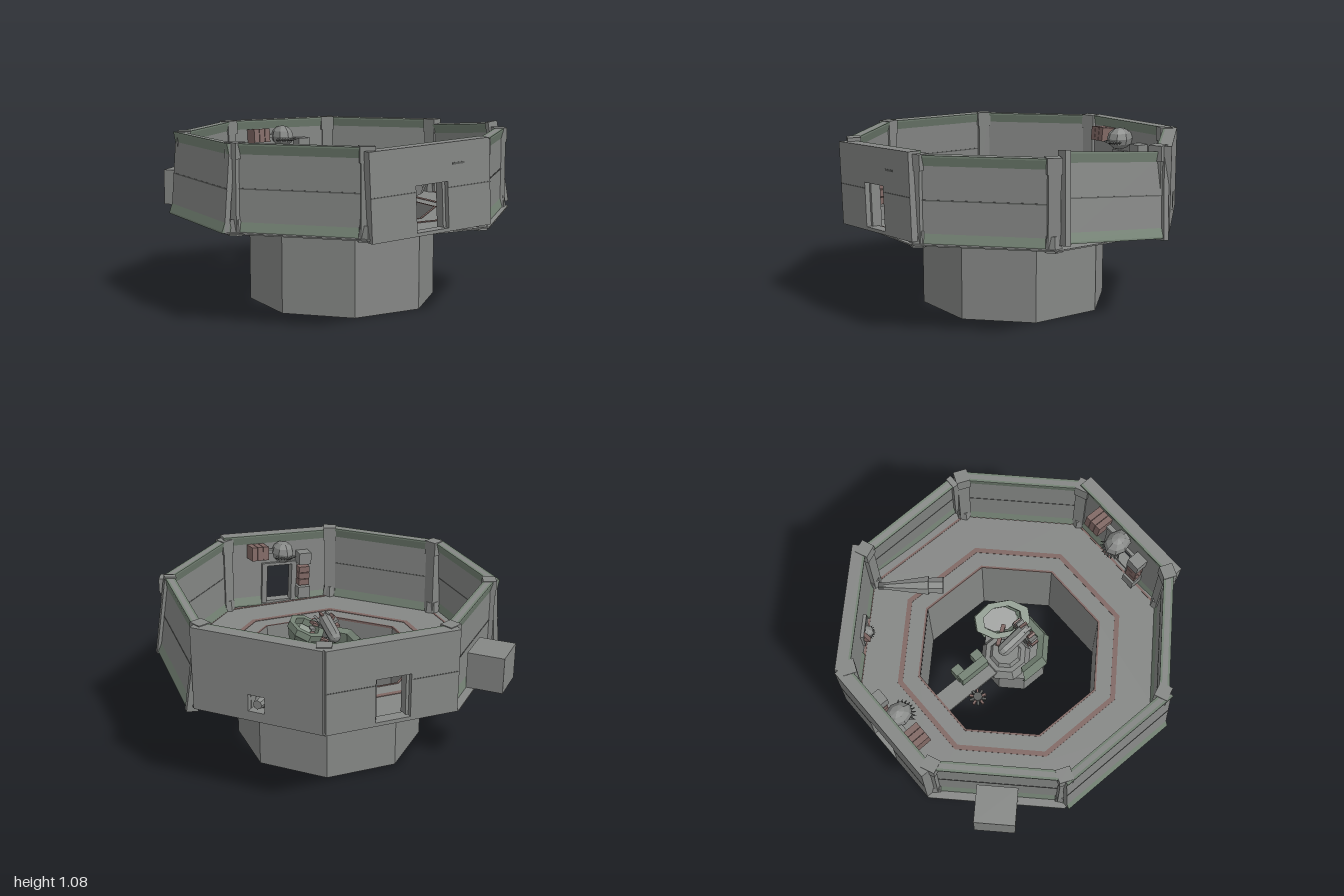
import * as THREE from 'three';

const mat = (color) => new THREE.MeshStandardMaterial({ color, flatShading: true, side: THREE.DoubleSide });
const grey = mat(0x858785), green = mat(0x748274), red = mat(0x806864), dark = mat(0x5c5e5c);
const PI = Math.PI;

function add(parent, name, geo, m, x = 0, y = 0, z = 0, rx = 0, ry = 0, rz = 0) {
  const mesh = new THREE.Mesh(geo, m);
  mesh.name = name;
  mesh.position.set(x, y, z);
  mesh.rotation.set(rx, ry, rz);
  parent.add(mesh);
  return mesh;
}
const box = (w, h, d) => new THREE.BoxGeometry(w, h, d);
const cyl = (a, b, h, n = 8, open = false) => new THREE.CylinderGeometry(a, b, h, n, 1, open);
const points = (list) => list.map((p) => new THREE.Vector2(...p));

function group(parent, name, x = 0, y = 0, z = 0, rx = 0, ry = 0, rz = 0) {
  const g = new THREE.Group();
  g.name = name;
  g.position.set(x, y, z);
  g.rotation.set(rx, ry, rz);
  parent.add(g);
  return g;
}

// Octagon corners with flat sides on the axes, given the centre-to-side distance
const octagon = (a) => Array.from({ length: 8 }, (_, i) => {
  const t = PI / 8 + i * PI / 4, r = a / Math.cos(PI / 8);
  return new THREE.Vector2(r * Math.cos(t), r * Math.sin(t));
});
function octRing(outer, inner, h) {
  const s = new THREE.Shape(octagon(outer));
  s.holes.push(new THREE.Path(octagon(inner)));
  return new THREE.ExtrudeGeometry(s, { depth: h, bevelEnabled: false }).rotateX(-PI / 2);
}

// Flat plate in x/y, optionally with a rectangular opening [x0, x1, y0, y1]
function plate(w, y0, y1, d, hole) {
  const rect = (a, b, c, e) => points([[a, c], [b, c], [b, e], [a, e]]);
  const s = new THREE.Shape(rect(-w, w, y0, y1));
  if (hole) s.holes.push(new THREE.Path(rect(...hole)));
  return new THREE.ExtrudeGeometry(s, { depth: d, bevelEnabled: false });
}

// Shallow sloped rail along a wall; dir = 1 on top, -1 at the bottom
function rail(w, dir) {
  const s = new THREE.Shape(points([[0, 0], [0.014, dir * 0.05], [0.014, dir * 0.06], [0, dir * 0.06]]));
  return new THREE.ExtrudeGeometry(s, { depth: 2 * w, bevelEnabled: false }).translate(0, 0, -w).rotateY(-PI / 2);
}

// Corner post with a stepped foot and head, centred on mid wall height
function post(root, t) {
  const side = group(root, 'cornerPost', 0, 0.79, 0.0, 0, t, 0);
  add(side, 'postShaft', box(0.07, 0.5, 0.07), grey, 0, 0, 0.972);
  add(side, 'postFoot', cyl(0.045, 0.056, 0.09, 6), grey, 0, -0.215, 0.972);
  add(side, 'postHead', box(0.085, 0.09, 0.08), grey, 0, 0.21, 0.972);
}

// Spiked rotary head; its spikes fan inward from the wall
function spikedHead(parent, x, y, z, s) {
  const g = group(parent, 'spikedHead', x, y, z);
  g.scale.setScalar(s);
  add(g, 'headShell', new THREE.SphereGeometry(0.072, 8, 6), grey).scale.set(1, 1, 1.25);
  add(g, 'headCollar', cyl(0.045, 0.06, 0.08, 8), grey, 0, 0, 0.07, PI / 2);
  for (let i = 0; i < 9; i++) {
    const t = -PI / 2 + (i - 4) * 0.24;
    add(g, 'spike', new THREE.ConeGeometry(0.012, 0.035, 4), dark,
      0.08 * Math.cos(t), -0.02, 0.09 * Math.sin(t), 0, -t, -PI / 2);
  }
}

// Gate machinery on the inner side of a wall
function gateGear(w) {
  spikedHead(w, 0, 0.14, -0.105, 1);
  for (let i = 0; i < 3; i++) add(w, 'redCanister', box(0.036, 0.09, 0.11), red, 0.135 + i * 0.039, 0.15, -0.1, 0.1);
  add(w, 'gearArm', box(0.14, 0.025, 0.03), grey, 0.08, 0.14, -0.07);
  for (let i = 0; i < 3; i++) add(w, 'redBlock', box(0.075, 0.04, 0.06), red, -0.16, -0.09 + i * 0.045, -0.08);
  for (const y of [-0.16, 0.08]) add(w, 'gearBracket', box(0.085, 0.08, 0.08), grey, -0.16, y, -0.08);
  // Door frame
  for (const s of [-1, 1]) add(w, 'doorJamb', box(0.035, 0.27, 0.06), grey, s * 0.105, -0.095, -0.03);
  add(w, 'doorLintel', box(0.25, 0.02, 0.06), grey, 0, 0.04, -0.03);
}

function wall(root, k) {
  const side = group(root, 'wallSide', 0, 0.79, 0, 0, k * PI / 4, 0);
  const lean = { 2: -0.13, 6: -0.08 }[k] || 0, tilt = { 0: 0.05, 2: -0.09 }[k] || 0;
  const plain = [0, 3, 4].includes(k), gate = k === 0 || k === 4, hatch = k === 3 || k === 5;
  // Panels on the railed diagonals are set back so the floor shows as a lip
  const out = [0.94, 0.908, 0.935, 0.945, 0.95, 0.908, 0.95, 0.908][k];
  const w = group(side, 'wall', k === 2 ? 0.03 : 0, 0, out, lean, k === 0 ? 0.02 : 0, tilt);
  const hole = gate ? [-0.105, 0.105, -0.225, 0.035] : hatch ? [-0.05, 0.05, -0.19, -0.09] : null;
  const hw = k === 2 ? 0.365 : k % 2 && !plain ? 0.37 : 0.395;
  const back = plain ? -0.04 : -0.02;
  add(w, 'wallPlate', plate(hw, -0.245, 0.25, plain ? 0.07 : 0.03, hole), grey, 0, 0, back);
  if (plain) {
    if (gate) for (const s of [-1, 1]) add(w, 'wallSeam', box(hw - 0.11, 0.006, 0.004), dark, s * (hw + 0.11) / 2, 0, 0.03);
    if (k === 0) add(w, 'wallSlot', box(0.08, 0.012, 0.004), dark, 0.18, 0.13, 0.03);
  } else {
    add(w, 'wallSeam', box(2 * hw, 0.008, 0.006), dark, 0, 0, 0.009);
    add(w, 'outerTopRail', rail(hw, 1), green, 0, 0.19, 0.01);
    add(w, 'outerBottomRail', rail(hw, -1), green, 0, -0.185, 0.01);
  }
  // Inner rails and seam
  const inner = group(w, 'innerRails', 0, 0, back, 0, PI, 0);
  add(inner, 'innerTopRail', rail(hw, 1), green, 0, 0.19, 0);
  if (hole) {
    for (const s of [-1, 1]) add(inner, 'innerBottomRail', rail(0.125, -1), green, s * 0.245, -0.185, 0);
  } else {
    add(inner, 'innerBottomRail', rail(hw, -1), green, 0, -0.185, 0);
    add(inner, 'innerSeam', box(2 * hw, 0.007, 0.004), dark, 0, 0, 0);
  }
  if (gate) gateGear(w);
  // Thick end frames of the leaning right wall
  if (k === 2) for (const s of [-1, 1]) add(w, 'endFrame', box(0.035, 0.515, 0.07), grey, s * 0.35, 0.002, -0.005);
  // Small hatches on the two rear diagonals
  if (hatch) {
    for (const s of [-1, 1]) add(w, 'hatchJamb', box(0.025, 0.15, 0.05), grey, s * 0.06, -0.14, -0.03);
    add(w, 'hatchLintel', box(0.15, 0.03, 0.06), grey, 0, -0.07, -0.03);
    spikedHead(w, 0, -0.15, -0.05, 0.6);
    add(w, 'hatchArm', box(0.03, 0.1, 0.03), red, 0.05, -0.11, -0.06, 0.3);
  }
  if (k === 5) add(w, 'outsideBox', box(0.24, 0.22, 0.22), grey, 0, -0.13, 0.131);
}

// Central pod with an octagonal deck, sloped shell and raised canopy
function centre(root) {
  add(root, 'bridge', box(0.13, 0.02, 0.4), grey, -0.005, 0.54, -0.36);
  const p = group(root, 'centralPod', 0, 0, 0.02);
  add(p, 'podHull', cyl(0.2, 0.21, 0.18, 8).rotateY(PI / 8), grey, -0.01, 0.41, 0);
  add(p, 'podDeck', cyl(0.13, 0.16, 0.06, 8).rotateY(PI / 8), grey, -0.01, 0.53, -0.07);
  add(p, 'podStep', cyl(0.085, 0.1, 0.03, 8).rotateY(PI / 8), grey, -0.01, 0.575, -0.07);
  const shell = points([[0.2, 0.48], [0.235, 0.56], [0.2, 0.64], [0.16, 0.62], [0.17, 0.54]]);
  add(p, 'podShell', new THREE.LatheGeometry(shell, 5, -PI / 8, 5 * PI / 4), green, -0.01, 0, -0.01, 0, -PI / 2);
  // Tilted canopy on the right of the pod
  const canopy = group(p, 'canopy', 0.135, 0.7, 0.02, 0.15, -0.46, 0.5);
  canopy.scale.set(0.95, 1, 1.45);
  add(canopy, 'canopyFrame', octRing(0.115, 0.08, 0.04), green);
  add(canopy, 'canopyBowl', cyl(0.12, 0.08, 0.07, 8, true).rotateY(PI / 8), green, 0, -0.03, 0);
  add(canopy, 'canopyFloor', cyl(0.08, 0.08, 0.01, 8).rotateY(PI / 8), grey, 0, -0.06, 0);
  add(p, 'podCapsule', new THREE.CapsuleGeometry(0.042, 0.16, 3, 8), grey, -0.02, 0.71, -0.01, PI / 2 - 0.3);
  // Upright toothed drum in front of the capsule
  const drum = group(p, 'toothedDrum', -0.02, 0.68, 0.07);
  add(drum, 'drumCore', cyl(0.06, 0.06, 0.05, 10), dark, 0, 0, 0, PI / 2);
  for (let i = 0; i < 14; i++) {
    const t = i * PI / 7;
    add(drum, 'drumTooth', box(0.045, 0.016, 0.05), i % 2 ? red : grey, 0.072 * Math.cos(t), 0.072 * Math.sin(t), 0.01, 0, 0, t);
  }
  add(p, 'redStrut', box(0.025, 0.025, 0.14), red, 0.07, 0.66, -0.04, 0, 0.6);
  // Console beside the bridge
  const c = group(root, 'console', 0.05, 0.58, -0.28);
  add(c, 'consoleBack', box(0.05, 0.1, 0.2), green, -0.025, 0, 0);
  for (const s of [-1, 1]) add(c, 'consoleArm', box(0.08, 0.08, 0.06), green, 0.02, 0, s * 0.075);
  // Small toothed wheel
  const g = group(root, 'toothedWheel', -0.13, 0.6, -0.37);
  add(g, 'wheelHub', cyl(0.028, 0.028, 0.05, 8), dark);
  for (let i = 0; i < 10; i++) add(g, 'wheelTooth', box(0.04, 0.02, 0.014), i % 2 ? red : dark,
    0.032 * Math.cos(i * PI / 5), 0, 0.032 * Math.sin(i * PI / 5), 0, -i * PI / 5);
}

export function createModel() {
  const root = new THREE.Group();
  root.name = 'octagonalArena';

  // Shaft and floor
  add(root, 'shaft', cyl(0.576, 0.576, 0.55, 8, true).rotateY(PI / 8), grey, -0.005, 0.275, -0.01);
  add(root, 'floorRing', octRing(0.97, 0.535, 0.008), grey, -0.003, 0.542, -0.01);
  for (const [o, i] of [[0.895, 0.882], [0.665, 0.635], [0.545, 0.533]])
    add(root, 'redFloorBand', octRing(o, i, 0.014), red, -0.003, 0.539, -0.01);

  for (let k = 0; k < 8; k++) {
    wall(root, k);
    post(root, PI / 8 + k * PI / 4);
  }

  centre(root);

  // Tapered barrel lying beside the right wall
  const b = group(root, 'barrel', 0.68, 0.63, -0.21, 0, Math.atan2(0.24, -0.29), 0);
  add(b, 'barrelCone', cyl(0.022, 0.062, 0.28, 8), grey, 0, 0, 0.05, PI / 2);
  add(b, 'barrelBase', cyl(0.05, 0.055, 0.1, 8), grey, 0, 0, -0.13, PI / 2);
  add(b, 'barrelTip', box(0.03, 0.04, 0.05), dark, 0, 0, 0.2);
  return root;
}
